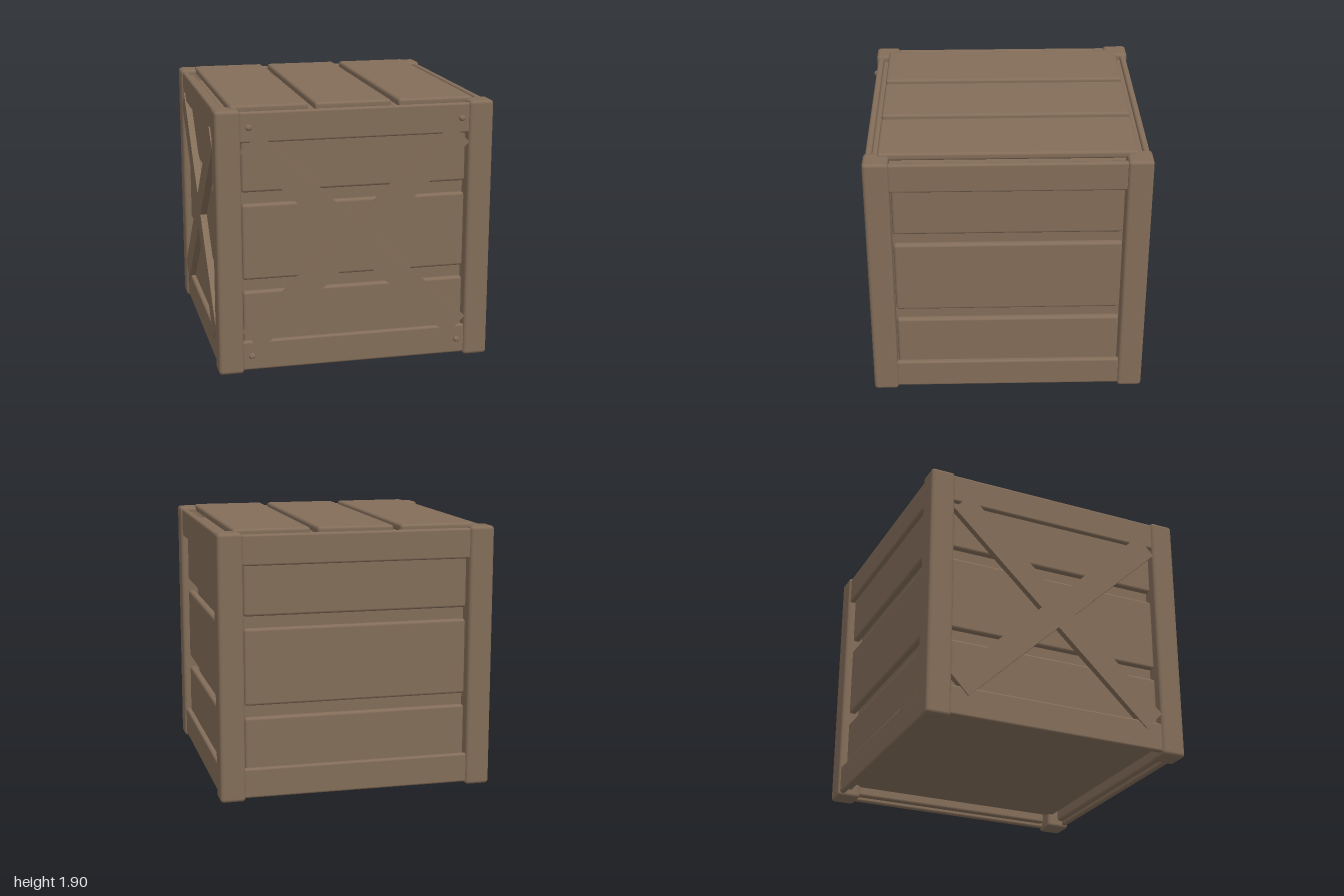
import * as THREE from 'three';
import { RoundedBoxGeometry } from 'three/addons/geometries/RoundedBoxGeometry.js';

export function createModel() {
  const wood = new THREE.MeshStandardMaterial({ color: 0x836d59 });
  wood.name = 'brown wood';

  const model = new THREE.Group();
  model.name = 'crate';
  const body = new THREE.Group();
  body.name = 'crateBody';
  body.position.z = -0.008; // leaves room for the screw heads in front
  model.add(body);

  const add = (parent, name, geometry, x, y, z) => {
    const mesh = new THREE.Mesh(geometry, wood);
    mesh.name = name;
    mesh.position.set(x, y, z);
    parent.add(mesh);
    return mesh;
  };
  const plank = (w, h, d, bevel) => new RoundedBoxGeometry(w, h, d, 2, bevel);

  // Inner box, seen through the gaps and from below
  add(body, 'innerBox', plank(1.72, 1.7, 1.72, 0.02), 0, 0.95, 0);

  // Corner posts
  const post = plank(0.178, 1.888, 0.178, 0.025);
  for (const sx of [-1, 1])
    for (const sz of [-1, 1]) add(body, 'cornerPost', post, sx * 0.899, 0.944, sz * 0.899);

  // Lid planks
  const lid = plank(0.545, 0.056, 1.785, 0.02);
  for (const i of [-1, 0, 1]) add(body, 'lidPlank', lid, i * 0.595 - 0.002, 1.877, -0.002);

  // Four walls: slats behind a top and a bottom rail
  const slat = plank(1.606, 0.545, 0.055, 0.02);
  const rail = plank(1.64, 0.215, 0.045, 0.016);
  const brace = new THREE.BoxGeometry(2.07, 0.184, 0.05);
  const walls = { front: 0, left: Math.PI / 2, back: Math.PI, right: -Math.PI / 2 };
  for (const [side, angle] of Object.entries(walls)) {
    const wall = new THREE.Group();
    wall.name = side + 'Wall';
    wall.rotation.y = angle;
    body.add(wall);
    for (const i of [-1, 0, 1]) add(wall, 'wallSlat', slat, 0, 0.948 + i * 0.63, 0.91);
    for (const y of [0.1275, 1.7675]) add(wall, 'wallRail', rail, 0, y, 0.9525);
    // Crossed braces on two of the walls
    if (side === 'front' || side === 'right')
      for (const s of [-1, 1])
        add(wall, 'crossBrace', brace, 0, 0.95, 0.96).rotation.z = s * 0.76;
  }

  // Slotted screws in the corners of the front wall
  const shank = new THREE.CylinderGeometry(0.014, 0.014, 0.03, 12).rotateX(Math.PI / 2);
  const halfHead = [-1, 1].map((s) =>
    new THREE.SphereGeometry(0.021, 8, 10, s < 0 ? -Math.PI / 2 : Math.PI / 2, Math.PI)
      .translate(s * 0.002, 0, 0));
  for (const x of [-0.755, 0.755])
    for (const y of [0.13, 1.77]) {
      const screw = new THREE.Group();
      screw.name = 'screw';
      screw.position.set(x, y, 0.979);
      model.add(screw);
      add(screw, 'screwShank', shank, 0, 0, -0.005);
      for (const half of halfHead) add(screw, 'screwHeadHalf', half, 0, 0, 0);
    }

  return model;
}
